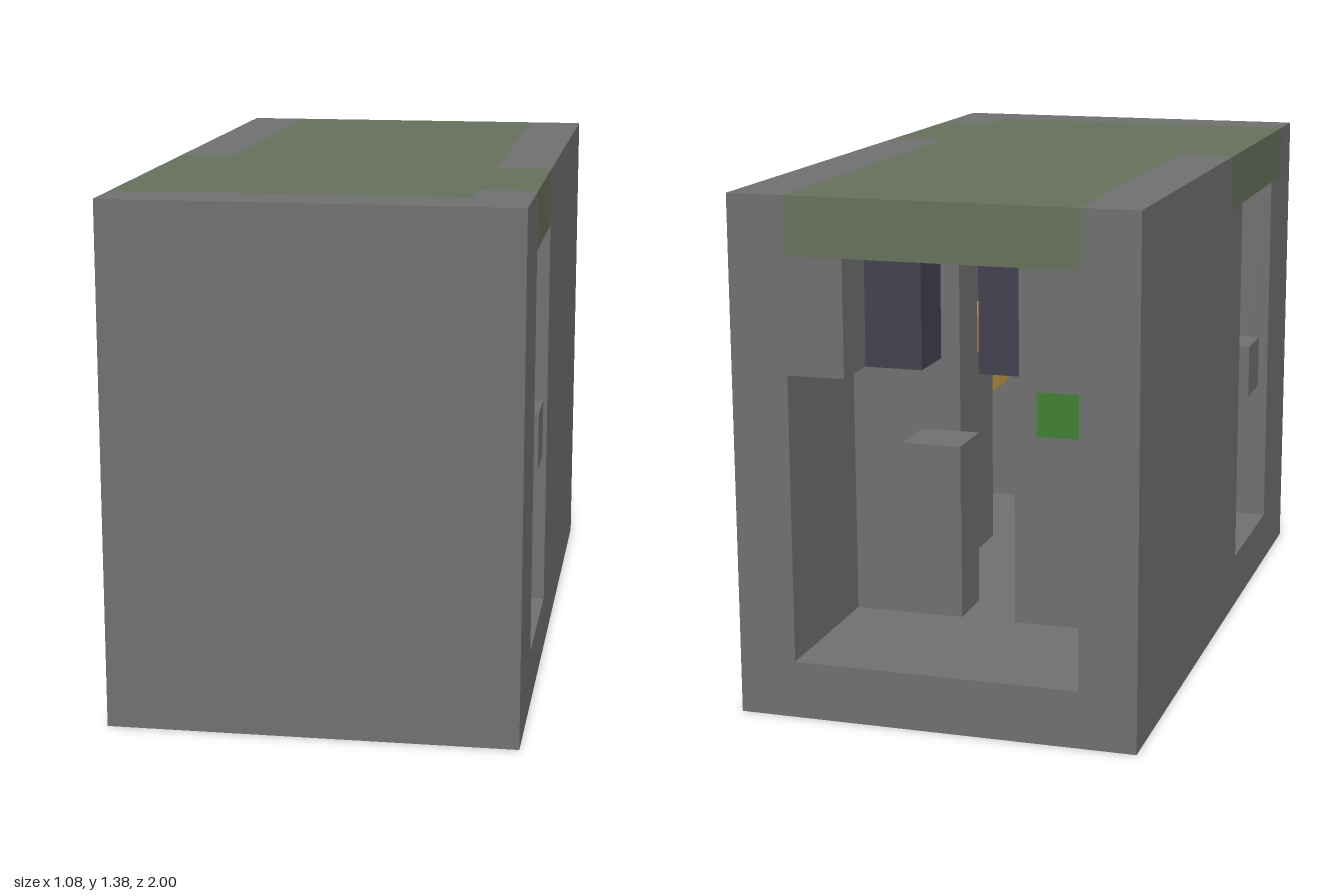
import * as THREE from 'three';

const U = 2 / 13; // edge of one block; the hull is 7 x 9 x 13 blocks

const mat = (name, color) => {
  const m = new THREE.MeshStandardMaterial({ color });
  m.name = name;
  return m;
};

export function createModel() {
  const stone = mat('stone grey', 0x707070);
  const moss = mat('moss green', 0x66705a);
  const gold = mat('gold', 0xc29f46);
  const slate = mat('dark violet', 0x43404f);
  const leaf = mat('leaf green', 0x3f8033);

  const model = new THREE.Group();
  model.name = 'blockBuilding';
  const add = (name, geo, material) => {
    geo.scale(U, U, U).translate(-3.5 * U, 0, -1);
    const mesh = new THREE.Mesh(geo, material);
    mesh.name = name;
    model.add(mesh);
  };
  // box given by its low corner and size in blocks
  const block = (name, material, [x, y, z], [w, h, d] = [1, 1, 1]) =>
    add(name, new THREE.BoxGeometry(w, h, d).translate(x + w / 2, y + h / 2, z + d / 2), material);
  const extrude = (pts, depth) =>
    new THREE.ExtrudeGeometry(new THREE.Shape(pts.map(([a, b]) => new THREE.Vector2(a, b))),
      { depth, bevelEnabled: false });

  // side walls, drawn as z-y outlines with a doorway notch
  const leftOutline = [[0, 0], [13, 0], [13, 9], [11, 9], [11, 1], [8, 1], [8, 9], [0, 9]];
  const rightOutline = [[0, 0], [13, 0], [13, 9], [12, 9], [12, 8], [11, 8], [11, 1],
    [8, 1], [8, 8], [7, 8], [7, 9], [0, 9]];
  add('leftWall', extrude(leftOutline, 1).rotateY(-Math.PI / 2).translate(7, 0, 0), stone);
  add('rightWall', extrude(rightOutline, 1).rotateY(-Math.PI / 2).translate(1, 0, 0), stone);

  // front wall and floor
  block('frontWall', stone, [1, 0, 12], [5, 9, 1]);
  block('floor', stone, [1, 0, 0], [5, 1, 12]);

  // mossy roof, an x-z outline reaching out over both side doorways
  const roof = [[1, 0], [6, 0], [6, 8], [7, 8], [7, 11], [6, 11], [6, 12], [0, 12], [0, 7], [1, 7]];
  add('roof', extrude(roof, 1).rotateX(Math.PI / 2).translate(0, 9, 0), moss);

  // mirrored inner parts
  for (const [side, x] of [['right', 1], ['left', 5]]) {
    block(side + 'BackCorner', stone, [x, 6, 0], [1, 2, 1]);
    block(side + 'Lintel', stone, [x, 7, 8], [1, 1, 3]);
    block(side + 'RearPillar', stone, [x, 1, 7], [1, 7, 1]);
    block(side + 'FrontPillar', stone, [x, 1, 11], [1, 7, 1]);
    block(side + 'Partition', stone, [x === 1 ? 1 : 4, 1, 3], [2, 7, 1]);
    block(side + 'BackHanging', slate, [x === 1 ? 2 : 4, 6, 1], [1, 2, 1]);
    block(side + 'DoorBlock', stone, [x === 1 ? 0 : 6, 4, 9]);
  }
  block('backDoorBlock', stone, [3, 4, 0]);
  block('roomHanging', slate, [3, 6, 9], [1, 2, 1]);

  // small coloured blocks inside the doorways
  for (const p of [[5, 4, 8], [4, 5, 7], [5, 4, 10], [4, 5, 11]]) block('goldBlock', gold, p);
  for (const p of [[1, 5, 1], [2, 6, 2]]) block('leafBlock', leaf, p);

  return model;
}
